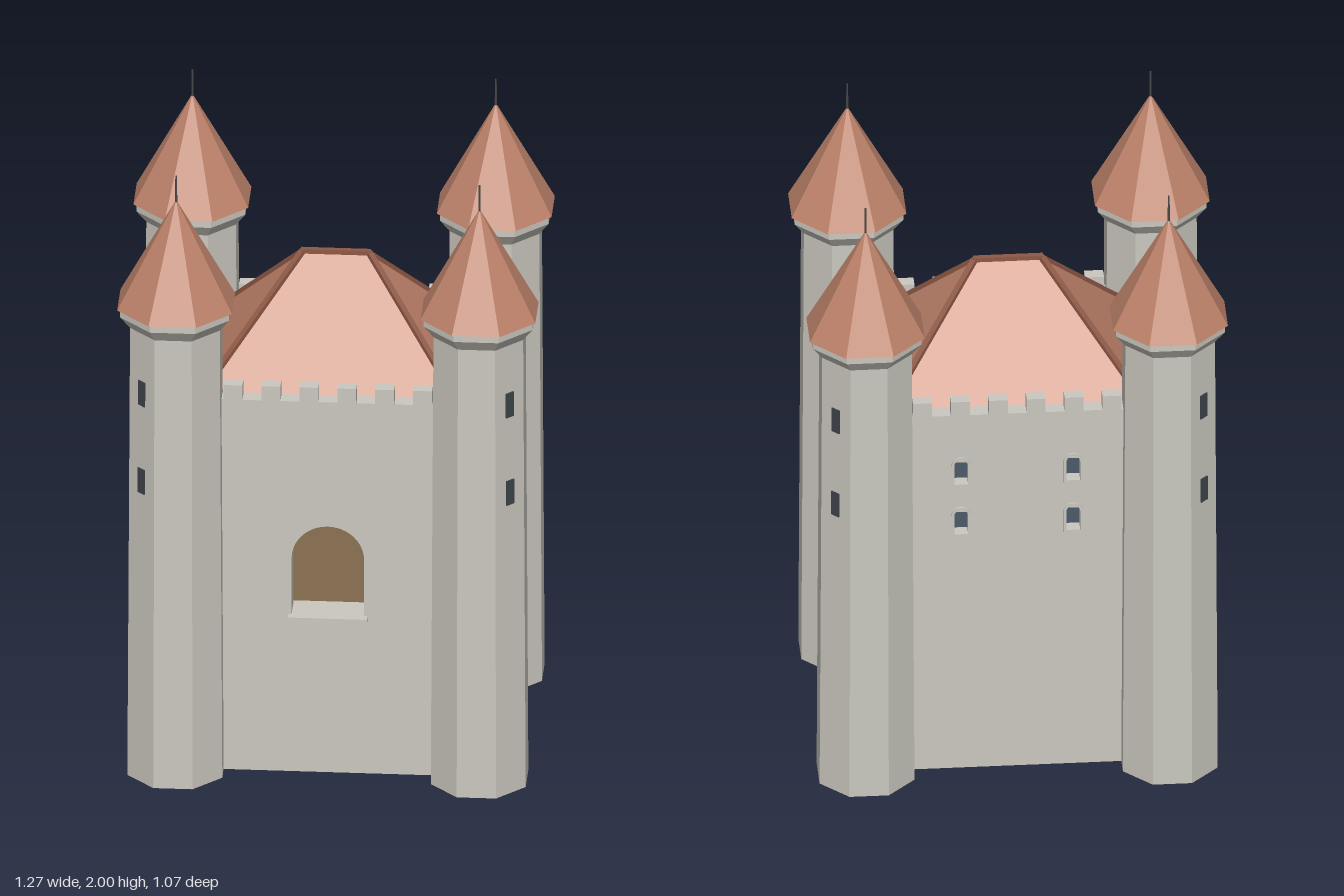
import * as THREE from 'three';

const mat = (name, color, side = THREE.FrontSide) => {
  const m = new THREE.MeshStandardMaterial({ color, side });
  m.name = name;
  return m;
};

export function createModel() {
  const stone = mat('stone', 0xcac8bf, THREE.DoubleSide);
  const tile = mat('roofTile', 0xbe826a);
  const trim = mat('ridgeTile', 0x8e5845);
  const wood = mat('wood', 0x8b7152);
  const glass = mat('windowGlass', 0x4c5a68);
  const dark = mat('darkSlit', 0x3e444b);
  const iron = mat('iron', 0x4a4a4a);

  const HX = 0.46, HZ = 0.36;       // half extents of the keep, towers on its corners
  const WALL_TOP = 1.25, ROOF_BASE = 1.205, RIDGE_Y = 1.582;
  const castle = new THREE.Group();
  castle.name = 'castle';

  const add = (parent, name, geo, material, x = 0, y = 0, z = 0) => {
    const m = new THREE.Mesh(geo, material);
    m.name = name;
    m.position.set(x, y, z);
    parent.add(m);
    return m;
  };
  const box = (w, h, d) => new THREE.BoxGeometry(w, h, d);
  const flat = (geo) => {
    const g = geo.index ? geo.toNonIndexed() : geo;
    g.computeVertexNormals();
    return g;
  };
  const extrude = (shape, depth) =>
    new THREE.ExtrudeGeometry(shape, { depth, bevelEnabled: false, curveSegments: 10 });

  // Round-headed opening, w wide, from y0 to y1
  const arch = (x, y0, y1, w, Type = THREE.Shape) => {
    const r = w / 2, s = new Type();
    s.moveTo(x - r, y0);
    s.lineTo(x + r, y0);
    s.lineTo(x + r, y1 - r);
    s.absarc(x, y1 - r, r, 0, Math.PI, false);
    s.closePath();
    return s;
  };

  // One side of the keep, built facing +z at distance d and turned into place
  function side(name, angle, len, d, merlons, openings) {
    const g = new THREE.Group();
    g.name = name;
    g.rotation.y = angle;
    castle.add(g);

    const shape = new THREE.Shape();
    shape.moveTo(-len / 2, 0);
    shape.lineTo(len / 2, 0);
    shape.lineTo(len / 2, 1.2);
    shape.lineTo(-len / 2, 1.2);
    shape.closePath();
    for (const o of openings) shape.holes.push(arch(o.x, o.y0, o.y1, o.w, THREE.Path));
    add(g, 'wall', extrude(shape, 0.1), stone, 0, 0, d - 0.1);

    // Parapet and merlons
    add(g, 'parapet', box(len, WALL_TOP - 1.2, 0.05), stone, 0, (WALL_TOP + 1.2) / 2, d - 0.025);
    const pitch = len / merlons;
    for (let i = 0; i < merlons; i++) {
      add(g, 'merlon', box(pitch / 2, 0.05, 0.04), stone,
        (i + 0.5) * pitch - len / 2, WALL_TOP + 0.025, d - 0.016);
    }

    for (const o of openings) {
      const panel = new THREE.ShapeGeometry(arch(o.x, o.y0, o.y1, o.w), 10);
      if (o.door) {
        add(g, 'door', panel, wood, 0, 0, d - 0.095);
        add(g, 'doorSill', box(0.24, 0.014, 0.06), stone, o.x, o.y0 - 0.006, d - 0.005);
      } else {
        add(g, 'windowPane', panel, glass, 0, 0, d - 0.035);
        add(g, 'windowBar', box(o.w, 0.006, 0.008), stone, o.x, o.y1 - 0.024, d - 0.03);
        const frame = arch(o.x, o.y0 - 0.008, o.y1 + 0.008, o.w + 0.016);
        frame.holes.push(arch(o.x, o.y0, o.y1, o.w, THREE.Path));
        add(g, 'windowFrame', extrude(frame, 0.012), stone, 0, 0, d - 0.006);
      }
    }
  }

  const windows = (...xs) => xs.flatMap((x) =>
    [0.832, 1.008].map((y0) => ({ x, y0, y1: y0 + 0.086, w: 0.042 })));

  side('frontWall', 0, 2 * HX, HZ, 8, [{ x: 0, y0: 0.53, y1: 0.83, w: 0.22, door: true }]);
  side('backWall', Math.PI, 2 * HX, HZ, 8, windows(-0.17, 0.17));
  side('leftWall', Math.PI / 2, 2 * HZ, HX, 6, windows(0));
  side('rightWall', -Math.PI / 2, 2 * HZ, HX, 6, windows(0));
  add(castle, 'floor', box(2 * HX, 0.01, 2 * HZ), stone, 0, 0.005, 0);

  // Hipped roof
  const ex = 0.41, ez = 0.31, rx = 0.1;
  const A = [-ex, ROOF_BASE, ez], B = [ex, ROOF_BASE, ez];
  const C = [ex, ROOF_BASE, -ez], D = [-ex, ROOF_BASE, -ez];
  const L = [-rx, RIDGE_Y, 0], R = [rx, RIDGE_Y, 0];
  const roof = new THREE.BufferGeometry();
  roof.setAttribute('position', new THREE.Float32BufferAttribute(
    [A, B, R, A, R, L, B, C, R, C, D, L, C, L, R, D, A, L].flat(), 3));
  roof.computeVertexNormals();
  add(castle, 'mainRoof', roof, tile);

  // Ridge and hip tiles
  const bar = (name, p, q) => {
    const a = new THREE.Vector3(...p), b = new THREE.Vector3(...q);
    const m = add(castle, name, box(0.018, 0.014, a.distanceTo(b)), trim);
    m.position.copy(a).lerp(b, 0.5);
    m.lookAt(b);
  };
  bar('ridgeTiles', [-rx - 0.006, RIDGE_Y, 0], [rx + 0.006, RIDGE_Y, 0]);
  for (const [p, q] of [[A, L], [D, L], [B, R], [C, R]]) bar('hipTiles', p, q);

  // Octagonal corner towers; radii are given to the flats
  const k = 1 / Math.cos(Math.PI / 8);
  const profile = [[0.144, 0], [0.136, 1.51], [0.165, 1.55], [0.165, 1.58]]
    .map(([r, y]) => new THREE.Vector2(r * k, y));
  const shaft = flat(new THREE.LatheGeometry(profile, 8, Math.PI / 8));
  const cone = flat(new THREE.ConeGeometry(0.174 * k, 0.345, 8, 1, false, Math.PI / 8));
  const spike = new THREE.CylinderGeometry(0.003, 0.004, 0.1, 6);
  for (const sx of [-1, 1]) for (const sz of [-1, 1]) {
    const t = new THREE.Group();
    t.name = (sz > 0 ? 'front' : 'back') + (sx > 0 ? 'Left' : 'Right') + 'Tower';
    t.position.set(sx * HX, 0, sz * HZ);
    castle.add(t);
    add(t, 'towerShaft', shaft, stone);
    add(t, 'towerRoof', cone, tile, 0, 1.575 + 0.1725, 0);
    add(t, 'spike', spike, iron, 0, 1.95, 0);
    // Arrow slits on the outer diagonal face
    for (const y of [1.015, 1.31]) {
      const r = (0.144 - 0.008 * y / 1.51) * Math.SQRT1_2;
      const s = add(t, 'arrowSlit', box(0.03, 0.082, 0.008), dark, sx * r, y, sz * r);
      s.rotation.y = Math.atan2(sx, sz);
    }
  }
  return castle;
}
